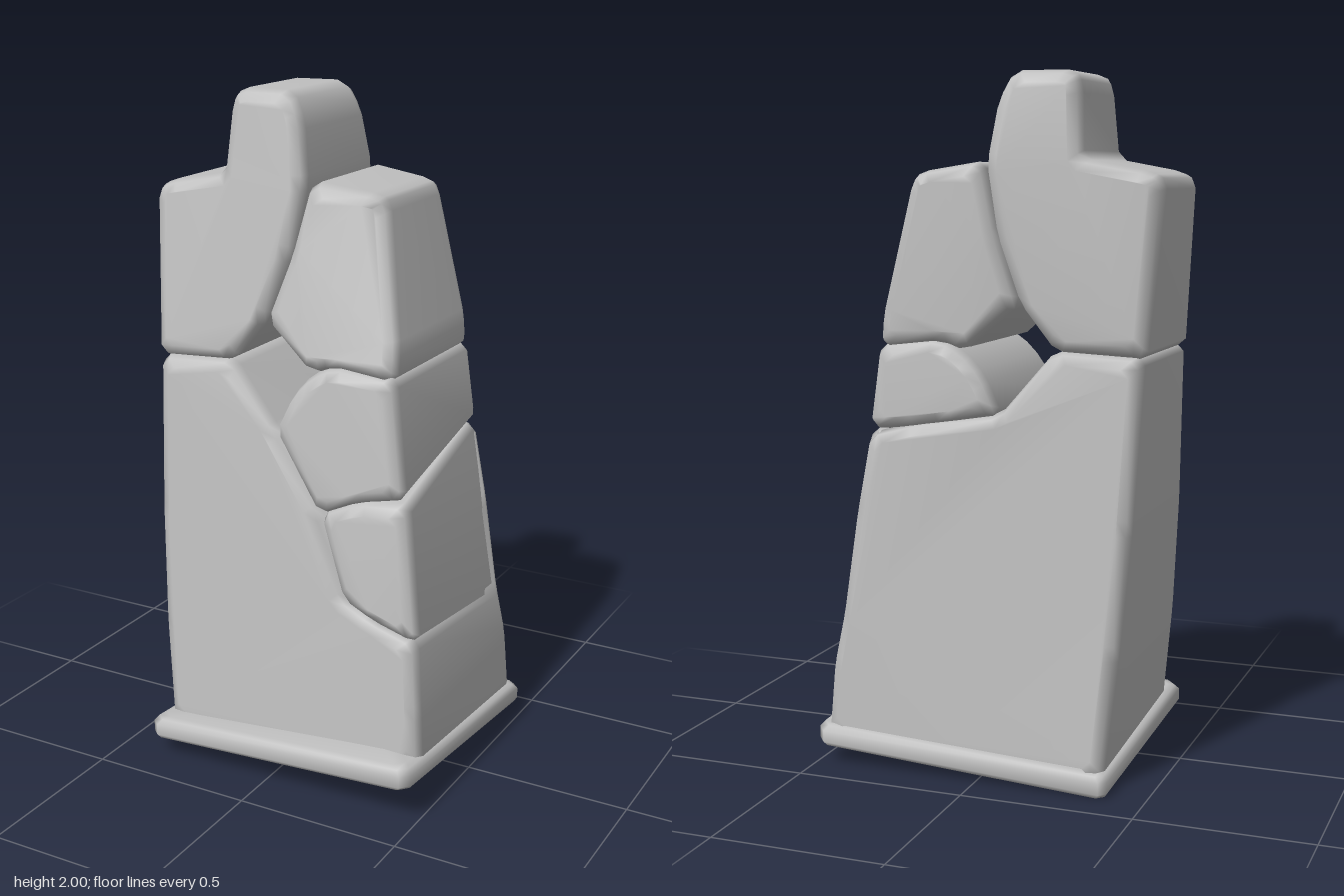
import * as THREE from 'three';

const stoneGrey = new THREE.MeshStandardMaterial({ color: 0xc0c0c0, side: THREE.DoubleSide });
stoneGrey.name = 'stone grey';

// Piecewise linear lookup in [y, value] pairs
function lookup(table, y) {
  for (let i = 1; i < table.length; i++) {
    const [y0, a] = table[i - 1], [y1, b] = table[i];
    if (y <= y1 || i === table.length - 1) return a + (b - a) * THREE.MathUtils.clamp((y - y0) / (y1 - y0), 0, 1);
  }
}
// Leaning front and back faces of the tower
const frontZ = (x, y) => lookup([[0.1, 0.315], [0.55, 0.275], [1.2, 0.21], [1.72, 0.125], [2, 0.085]], y);
const backZ = (x, y) => lookup([[0.1, -0.385], [1.2, -0.335], [1.72, -0.335], [2, -0.3]], y)
  + 0.15 * Math.max(0, -x) * Math.min(1, y / 1.5);

// Ground tilt of the plinth
const tilt = (x, z) => 0.0525 + 0.0625 * (x + 0.39) - 0.0245 + 0.07 * z;

// Move every edge of an anticlockwise outline inwards by d
function inset(pts, d) {
  const n = pts.length;
  return pts.map((p, i) => {
    const a = pts[(i + n - 1) % n], b = pts[(i + 1) % n];
    const l0 = Math.hypot(p[0] - a[0], p[1] - a[1]), l1 = Math.hypot(b[0] - p[0], b[1] - p[1]);
    const n0 = [-(p[1] - a[1]) / l0, (p[0] - a[0]) / l0], n1 = [-(b[1] - p[1]) / l1, (b[0] - p[0]) / l1];
    const k = d / Math.max(0.35, 1 + n0[0] * n1[0] + n0[1] * n1[1]);
    return [p[0] + (n0[0] + n1[0]) * k, p[1] + (n0[1] + n1[1]) * k, p[2]];
  });
}

// Cut each corner into two points
function chamfer(pts, c) {
  const n = pts.length, out = [];
  pts.forEach((p, i) => {
    for (const q of [pts[(i + n - 1) % n], pts[(i + 1) % n]]) {
      const t = Math.min(0.3, c / Math.hypot(q[0] - p[0], q[1] - p[1]));
      out.push(p.map((v, k) => v + (q[k] - v) * t));
    }
  });
  return out;
}

// Join equal-length rings of [x, y, z] with quads; skip one edge or close one if asked
function loft(rings, { skip = -1, caps = false } = {}) {
  const n = rings[0].length, index = [];
  for (let r = 0; r + 1 < rings.length; r++) for (let j = 0; j < n; j++) {
    if (j === skip) continue;
    const a = r * n + j, b = r * n + (j + 1) % n;
    index.push(a, b, b + n, a, b + n, a + n);
  }
  if (caps) {
    const last = (rings.length - 1) * n;
    const flat = ring => THREE.ShapeUtils.triangulateShape(ring.map(p => new THREE.Vector2(p[0], p[1])), []);
    flat(rings[0]).forEach(([a, b, c]) => index.push(a, c, b));
    flat(rings[rings.length - 1]).forEach(([a, b, c]) => index.push(last + a, last + b, last + c));
  }
  const g = new THREE.BufferGeometry();
  g.setAttribute('position', new THREE.Float32BufferAttribute(rings.flat(2), 3));
  g.setIndex(index);
  g.computeVertexNormals();
  return g;
}

// Soft-edged block; each point is [x, y, front push, back x, back y]
function stone(points, { backPush = 0, skip = -1, bevel = 0.035 } = {}) {
  const front = points.map(([x, y, dz = 0]) => [x, y, dz]);
  const back = points.map(([x, y, dz, bx = x, by = y]) => [bx, by, backPush]);
  const ring = (pts, d, zAt, dz) => chamfer(inset(pts, d), 0.022).map(([x, y, push]) => [x, y, zAt(x, y) + push + dz]);
  return loft([
    ring(back, bevel, backZ, 0),
    ring(back, bevel * 0.3, backZ, bevel * 0.35),
    ring(back, 0, backZ, bevel * 1.2),
    ring(front, 0, frontZ, -bevel * 1.2),
    ring(front, bevel * 0.3, frontZ, -bevel * 0.35),
    ring(front, bevel, frontZ, 0),
  ], { skip, caps: true });
}

// Tilted hollow plinth with a rounded upper lip
function plinth() {
  const outline = [[-0.4, 0.36], [-0.37, 0.39], [0.46, 0.4], [0.485, 0.37],
    [0.5, -0.37], [0.475, -0.4], [-0.37, -0.4], [-0.39, -0.38]];
  const profile = [[0.07, 0.05], [0.025, 0.003], [0.008, 0], [0, 0.012], [0, 0.045], [0.012, 0.06], [0.03, 0.066], [0.1, 0.068]];
  return loft(profile.map(([d, h]) => outline.map(([x, z]) => {
    const px = x - Math.sign(x) * d, pz = z - Math.sign(z) * d;
    return [px, tilt(x, z) + h, pz];
  })));
}

export function createModel() {
  const group = new THREE.Group();
  const add = (name, geometry) => {
    const mesh = new THREE.Mesh(geometry, stoneGrey);
    mesh.name = name;
    group.add(mesh);
  };

  add('plinth', plinth());

  // Large lower block, open underneath, reaching across the whole back
  add('lowerBlock', stone([
    [-0.37, 0.085, 0, -0.37, 0.04], [0.475, 0.135, 0, 0.475, 0.085],
    [0.46, 0.3], [0.44, 0.505, 0, 0.43, 0.45], [0.3, 0.545, 0, 0.39, 0.75], [0.2, 0.59, 0, 0.35, 0.98],
    [0.11, 0.83, 0, 0.2, 1.02], [-0.045, 1.05], [-0.2, 1.235], [-0.45, 1.22], [-0.43, 0.75], [-0.405, 0.4],
  ], { skip: 1 }));

  // Small blocks stacked on the +x side
  add('lowerSideBlock', stone([
    [0.2, 0.585], [0.3, 0.54], [0.445, 0.5, 0, 0.43, 0.43], [0.385, 0.895, -0.01, 0.352, 0.995],
    [0.23, 0.885, 0, 0.23, 0.99], [0.11, 0.83, 0, 0.11, 0.9],
  ], { backPush: 0.015 }));
  add('middleSideBlock', stone([
    [-0.05, 1.05], [0.11, 0.82, 0, 0.11, 1.02], [0.23, 0.875, 0, 0.23, 1.0], [0.372, 0.905, -0.01, 0.35, 0.995],
    [0.32, 1.24, -0.01], [0.13, 1.26], [0.06, 1.225], [0.0, 1.16],
  ]));

  // Upper blocks closing over the opening
  add('upperRightBlock', stone([
    [0.06, 1.225], [0.13, 1.25, 0], [0.315, 1.225, -0.02], [0.31, 1.32, -0.03], [0.215, 1.7, -0.09],
    [0.19, 1.725, -0.07], [0.0, 1.755, -0.02], [-0.04, 1.55, -0.01], [-0.1, 1.36],
  ]));
  add('upperLeftBlock', stone([
    [-0.455, 1.215], [-0.2, 1.23], [-0.1, 1.36], [-0.035, 1.55], [-0.005, 1.75], [-0.03, 1.92],
    [-0.07, 2.0], [-0.24, 2.0], [-0.262, 1.96], [-0.273, 1.76], [-0.46, 1.725], [-0.5, 1.7],
  ]));

  return group;
}
